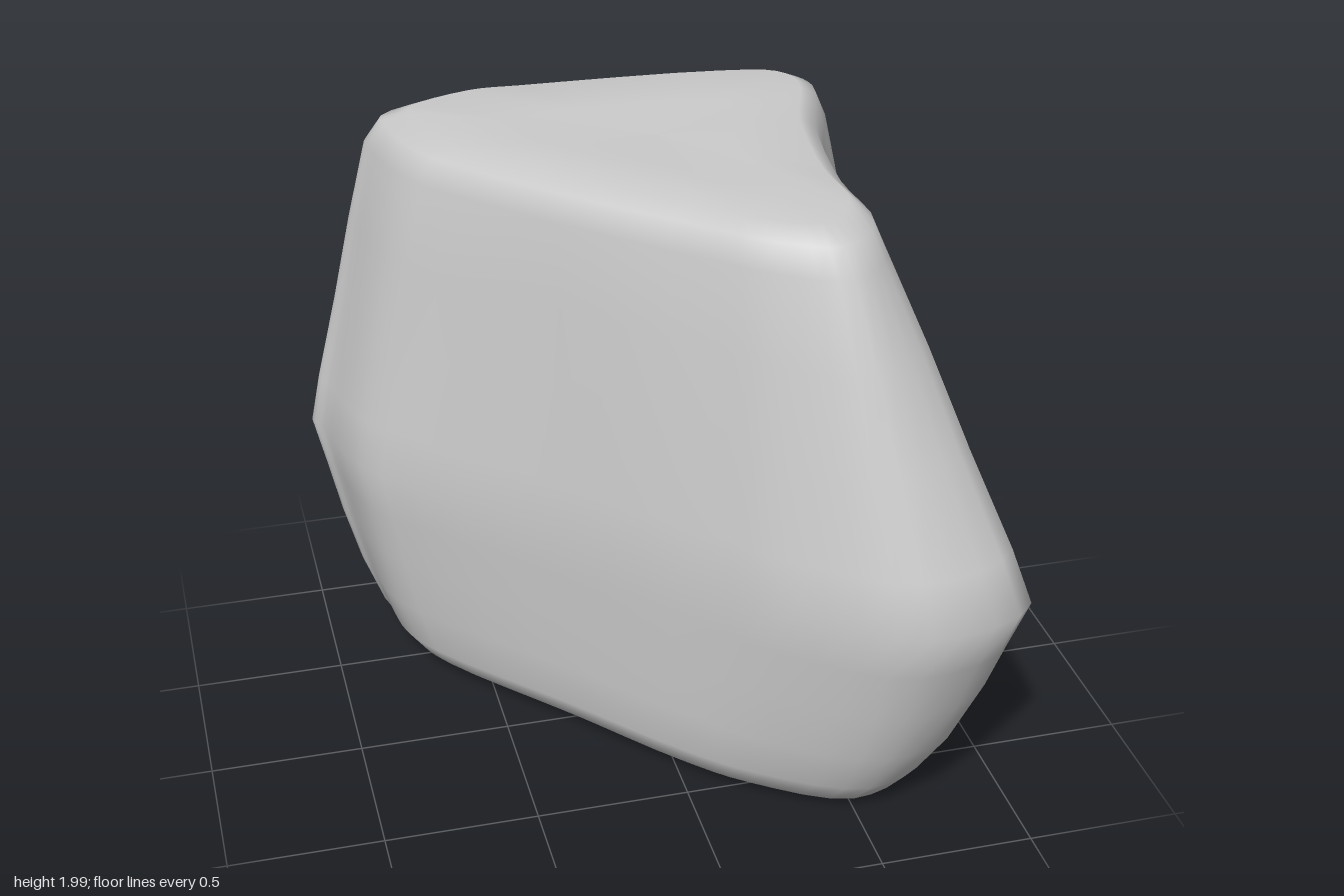
import * as THREE from 'three';

const SIDES = 64;

// Outlines (x, z), matching point for point: near the base, at the widest belt, near the top
const base = [[-.8, -.75], [-.52, -.9], [-.3, -.91], [.5, -.88], [.74, -.79], [.8, -.66], [.68, -.22], [.67, .3],
  [.75, .66], [.53, .77], [.2, .6], [0, .42], [-.3, .08], [-.68, -.34], [-.76, -.48], [-.79, -.66]];
const belt = [[-1, -.83], [-.58, -1], [-.36, -1], [.55, -.96], [.91, -.81], [.99, -.69], [.83, -.2], [.82, .38],
  [.98, .88], [.62, 1], [.25, .76], [.06, .55], [-.3, .15], [-.83, -.37], [-.91, -.5], [-.97, -.75]];
const crown = [[-.76, -.78], [-.5, -.9], [-.3, -.9], [.5, -.86], [.72, -.8], [.77, -.68], [.66, -.3], [.6, .15],
  [.6, .48], [.45, .63], [.25, .54], [.06, .37], [-.3, .03], [-.65, -.36], [-.72, -.5], [-.76, -.68]];

// Smooth closed loop through an outline
function loop(outline) {
  const curve = new THREE.CatmullRomCurve3(outline.map(([x, z]) => new THREE.Vector3(x, 0, z)), true);
  return Array.from({ length: SIDES }, (_, i) => curve.getPoint(i / SIDES));
}

export function createModel() {
  const [B, M, T] = [base, belt, crown].map(loop);
  const centre = new THREE.Vector3(.1, 0, -.3);

  // Levels from the underside up: height, outline, next outline, blend, scale towards the centre
  const levels = [
    [.03, B, B, 0, 0], [.025, B, B, 0, .45], [.015, B, B, 0, .82], [.045, B, B, 0, .94],
    [.12, B, B, 0, 1], [.28, B, M, .32, 1], [.48, B, M, .6, 1], [.66, B, M, .8, 1],
    [.83, M, M, 0, 1], [1.0, M, T, .14, 1], [1.3, M, T, .44, 1], [1.6, M, T, .72, 1],
    [1.87, T, T, 0, 1], [1.955, T, T, 0, .94], [1.993, T, T, 0, .84], [1.99, T, T, 0, .45], [1.985, T, T, 0, 0],
  ];

  const positions = [], index = [];
  const p = new THREE.Vector3();
  levels.forEach(([y, from, to, blend, scale], row) => {
    for (let i = 0; i < SIDES; i++) {
      p.lerpVectors(from[i], to[i], blend).sub(centre).multiplyScalar(scale).add(centre);
      // The underside dips slightly towards +x
      const dip = y < .1 ? -.018 * p.x : 0;
      positions.push(p.x, y + dip, p.z);
      if (row === levels.length - 1) continue;
      const a = row * SIDES + i, b = row * SIDES + (i + 1) % SIDES;
      if (row > 0) index.push(a, a + SIDES, b);
      if (row < levels.length - 2) index.push(b, a + SIDES, b + SIDES);
      // At the two end caps one triangle of each quad collapses
      if (row === 0) index.push();
    }
  });

  const geometry = new THREE.BufferGeometry();
  geometry.setAttribute('position', new THREE.Float32BufferAttribute(positions, 3));
  geometry.setIndex(index);
  geometry.computeVertexNormals();

  const boulder = new THREE.Mesh(geometry, new THREE.MeshStandardMaterial({ color: 0xcccccc, roughness: .9 }));
  boulder.name = 'boulder';
  const group = new THREE.Group();
  group.name = 'rock';
  group.add(boulder);
  return group;
}
